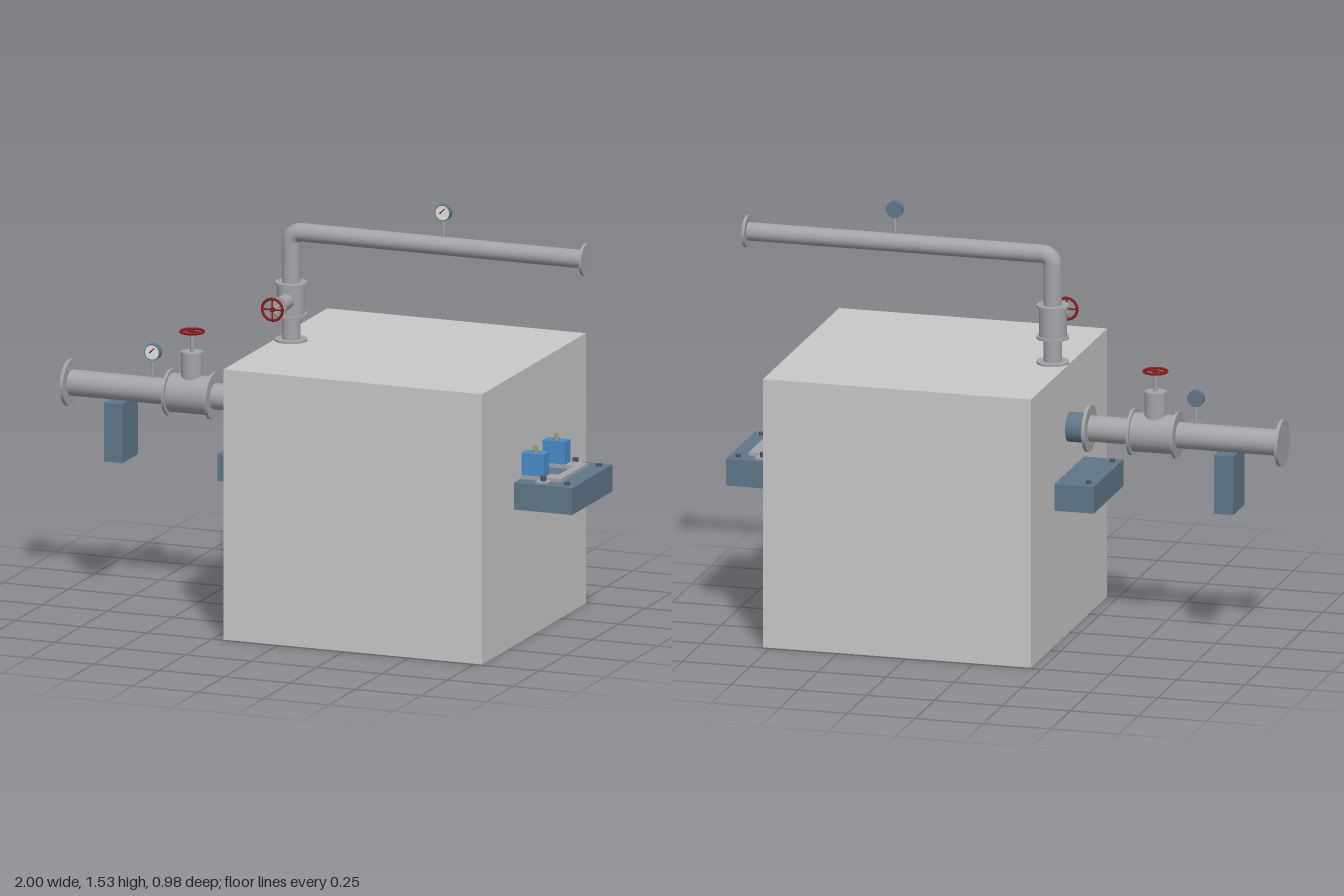
import * as THREE from 'three';

const mat = (name, color) => {
  const m = new THREE.MeshStandardMaterial({ color });
  m.name = name;
  return m;
};

export function createModel() {
  const root = new THREE.Group();
  root.name = 'pumpSkid';
  const block = mat('lightGrey', 0xc8c8c8);
  const steel = mat('pipeGrey', 0xa2a4a8);
  const slate = mat('slateBlue', 0x5f7789);
  const blue = mat('bearingBlue', 0x4a8cc8);
  const red = mat('wheelRed', 0x8e1a1a);
  const white = mat('dialWhite', 0xe4e4e2);
  const brass = mat('fittingTan', 0xa09c80);
  const dark = mat('boltGrey', 0x505860);

  const add = (parent, name, geo, m, x, y, z) => {
    const mesh = new THREE.Mesh(geo, m);
    mesh.name = name;
    mesh.position.set(x, y, z);
    parent.add(mesh);
    return mesh;
  };
  const group = (name, x, y, z) => {
    const g = new THREE.Group();
    g.name = name;
    g.position.set(x, y, z);
    root.add(g);
    return g;
  };
  // box given by its limits
  const box = (parent, name, m, x0, x1, y0, y1, z0, z1) =>
    add(parent, name, new THREE.BoxGeometry(x1 - x0, y1 - y0, z1 - z0), m,
      (x0 + x1) / 2, (y0 + y1) / 2, (z0 + z1) / 2);
  // cylinder running from a to b along one axis
  const rod = (parent, name, m, axis, r, a, b, x = 0, y = 0, z = 0, seg = 32) => {
    const mesh = add(parent, name, new THREE.CylinderGeometry(r, r, b - a, seg), m, x, y, z);
    if (axis === 'x') mesh.rotation.z = -Math.PI / 2;
    if (axis === 'z') mesh.rotation.x = Math.PI / 2;
    mesh.position[axis] += (a + b) / 2;
    return mesh;
  };

  // large enclosing block
  box(root, 'mainBlock', block, -0.21, 0.777, 0, 0.985, -0.49, 0.49);

  // base frame, open underneath
  const base = group('baseFrame', 0, 0, 0);
  box(base, 'baseTop', slate, -0.355, 1, 0.565, 0.595, -0.19, 0.19);
  box(base, 'baseEnd', slate, 0.92, 1, 0.497, 0.565, -0.19, 0.19);
  box(base, 'baseEnd', slate, -0.355, -0.275, 0.497, 0.565, -0.19, 0.19);
  for (const s of [-1, 1]) {
    box(base, 'baseRail', slate, -0.275, 0.92, 0.497, 0.565, s * 0.15 - 0.04, s * 0.15 + 0.04);
    for (const x of [-0.325, 0.965]) {
      rod(base, 'anchorBolt', dark, 'y', 0.01, 0.595, 0.605, x, 0, s * 0.15, 6);
    }
  }

  // U-shaped mounting plate
  const u = new THREE.Shape([
    [0.77, -0.13], [0.933, -0.13], [0.933, 0.13], [0.77, 0.13],
    [0.77, 0.07], [0.9, 0.07], [0.9, -0.07], [0.77, -0.07],
  ].map(([x, y]) => new THREE.Vector2(x, y)));
  const plate = add(root, 'mountingPlate',
    new THREE.ExtrudeGeometry(u, { depth: 0.013, bevelEnabled: false }), steel, 0, 0.595, 0);
  plate.rotation.x = -Math.PI / 2;

  // bearing housings and plate lugs
  for (const s of [-1, 1]) {
    const g = group('bearingHousing', 0.823, 0, s * 0.1);
    box(g, 'housing', blue, -0.043, 0.043, 0.605, 0.69, -0.025, 0.025);
    rod(g, 'oilCapBase', brass, 'y', 0.012, 0.69, 0.698, 0, 0, 0, 6);
    rod(g, 'oilCap', brass, 'y', 0.007, 0.698, 0.714, 0, 0, 0, 12);
    box(g, 'lug', steel, 0.03, 0.075, 0.595, 0.602, s * 0.05 - 0.022, s * 0.05 + 0.022);
    rod(g, 'lugBolt', dark, 'y', 0.011, 0.602, 0.618, 0.052, 0, s * 0.05, 6);
  }

  // handwheel lying in its local xy plane
  const handwheel = (parent, r) => {
    const g = new THREE.Group();
    g.name = 'handwheel';
    g.add(new THREE.Mesh(new THREE.TorusGeometry(r, 0.005, 8, 32), red));
    g.children[0].name = 'wheelRim';
    rod(g, 'wheelSpoke', red, 'x', 0.003, -r, r, 0, 0, 0, 8);
    rod(g, 'wheelSpoke', red, 'y', 0.003, -r, r, 0, 0, 0, 8);
    rod(g, 'wheelHub', red, 'z', 0.009, -0.005, 0.005, 0, 0, 0, 16);
    parent.add(g);
    return g;
  };

  // pressure gauge on a stem, dial towards +z
  const gauge = (x, y0, y) => {
    const g = group('pressureGauge', x, y, 0);
    rod(g, 'gaugeStem', steel, 'y', 0.006, y0 - y, -0.02, 0, 0, 0, 12);
    rod(g, 'gaugeCase', slate, 'z', 0.03, -0.011, 0.011);
    rod(g, 'gaugeDial', white, 'z', 0.026, 0.011, 0.013);
    const needle = box(g, 'gaugeNeedle', red, -0.002, 0.002, -0.006, 0.02, 0.013, 0.015);
    needle.rotation.z = -0.8;
  };

  // inlet line with valve
  const inlet = group('inletLine', 0, 0.755, 0);
  rod(inlet, 'inletPipe', steel, 'x', 0.047, -0.99, -0.28);
  rod(inlet, 'inletNozzle', slate, 'x', 0.053, -0.278, -0.2);
  for (const [a, b] of [[-1, -0.988], [-0.614, -0.604], [-0.451, -0.441], [-0.29, -0.278]]) {
    rod(inlet, 'inletFlange', steel, 'x', 0.084, a, b);
  }
  rod(inlet, 'inletValveBody', steel, 'x', 0.07, -0.604, -0.451);
  rod(inlet, 'inletBonnet', steel, 'y', 0.039, 0, 0.155, -0.528);
  rod(inlet, 'inletStem', steel, 'y', 0.007, 0.155, 0.232, -0.528, 0, 0, 12);
  const w1 = handwheel(inlet, 0.041);
  w1.position.set(-0.528, 0.228, 0);
  w1.rotation.x = -Math.PI / 2;
  box(root, 'pipeSupport', slate, -0.835, -0.765, 0.497, 0.712, -0.073, 0.073);

  // outlet riser with valve
  const riser = group('outletRiser', -0.15, 0, 0);
  rod(riser, 'riserPipe', steel, 'y', 0.033, 0.985, 1.345);
  for (const [a, b] of [[0.985, 0.993], [1.076, 1.085], [1.19, 1.199]]) {
    rod(riser, 'riserFlange', steel, 'y', 0.058, a, b);
  }
  rod(riser, 'riserValveBody', steel, 'y', 0.05, 1.085, 1.19);
  rod(riser, 'riserBonnet', steel, 'z', 0.028, 0, 0.11, 0, 1.137);
  rod(riser, 'riserStem', steel, 'z', 0.005, 0.11, 0.18, 0, 1.137, 0, 12);
  handwheel(riser, 0.039).position.set(0, 1.137, 0.177);

  // elbow and horizontal outlet
  const elbow = add(root, 'outletElbow',
    new THREE.TorusGeometry(0.038, 0.033, 24, 16, Math.PI / 2), steel, -0.112, 1.345, 0);
  elbow.rotation.z = Math.PI / 2;
  rod(root, 'outletPipe', steel, 'x', 0.033, -0.112, 0.972, 0, 1.383);
  rod(root, 'outletFlange', steel, 'x', 0.058, 0.97, 0.98, 0, 1.383);

  gauge(-0.677, 0.8, 0.895);
  gauge(0.432, 1.41, 1.505);
  return root;
}
